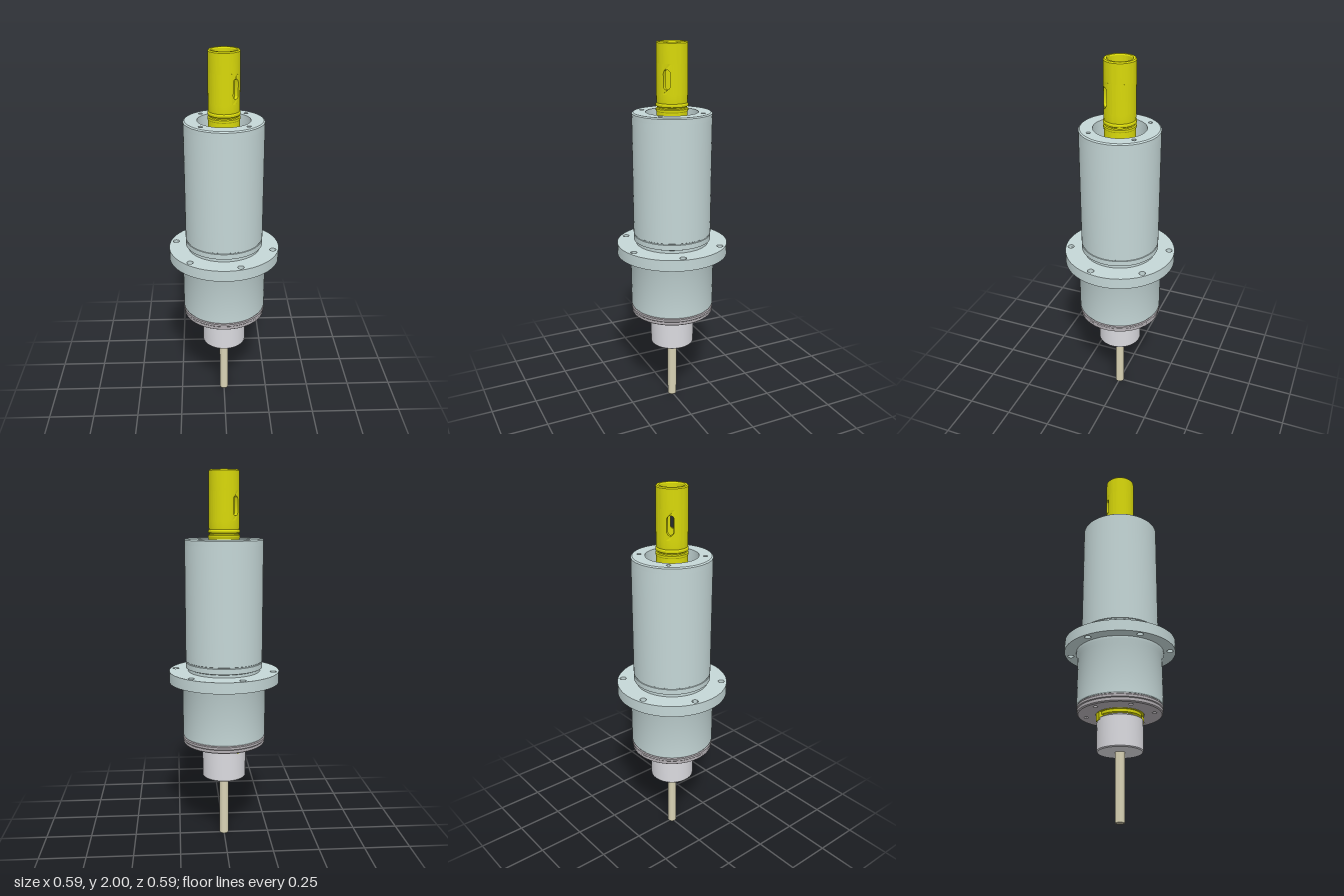
import * as THREE from 'three';
import { toCreasedNormals } from 'three/addons/utils/BufferGeometryUtils.js';

const SEG = 64;
const material = (color) => new THREE.MeshStandardMaterial({ color });

export function createModel() {
  const root = new THREE.Group();
  const steel = material(0xc4d6d6);
  const yellow = material(0xd8d80a);
  const grey = material(0xb4b0b4);
  const lightGrey = material(0xdadadf);
  const beige = material(0xd8d2b4);

  const add = (name, geometry, mat, parent = root) => {
    const mesh = new THREE.Mesh(toCreasedNormals(geometry, 0.5), mat);
    mesh.name = name;
    parent.add(mesh);
    return mesh;
  };
  // Turned part: profile of [radius, height], outer side running upwards
  const turned = (points, phi = 0, length = Math.PI * 2) =>
    new THREE.LatheGeometry(points.map(([r, y]) => new THREE.Vector2(r, y)), SEG, phi, length);
  // Closed tube section
  const sleeve = (ro, ri, y0, y1, phi, length) =>
    turned([[ri, y0], [ro, y0], [ro, y1], [ri, y1], [ri, y0]], phi, length);
  // Ring plate with a circle of bolt holes
  const plate = (ro, ri, y0, h, count, pitch, rHole, start) => {
    const shape = new THREE.Shape().absarc(0, 0, ro, 0, Math.PI * 2);
    const hole = (x, y, r) => shape.holes.push(new THREE.Path().absarc(x, y, r, 0, Math.PI * 2, true));
    hole(0, 0, ri);
    for (let i = 0; i < count; i++) {
      const a = THREE.MathUtils.degToRad(start + (i * 360) / count);
      hole(pitch * Math.cos(a), -pitch * Math.sin(a), rHole);
    }
    return new THREE.ExtrudeGeometry(shape, { depth: h, bevelEnabled: false, curveSegments: 32 })
      .rotateX(-Math.PI / 2).translate(0, y0, 0);
  };

  // Upper housing, necked in above the flange
  add('upperHousing', turned([
    [0.136, 0.94], [0.195, 0.94], [0.195, 0.965], [0.207, 0.97], [0.207, 0.998], [0.204, 1.0],
    [0.204, 1.004], [0.207, 1.006], [0.207, 1.62], [0.136, 1.62], [0.136, 0.94],
  ]), steel);
  // Top face with four screw holes and a chamfered rim
  add('topFace', plate(0.2, 0.136, 1.615, 0.037, 4, 0.167, 0.011, 45), steel);
  add('topRim', turned([
    [0.2, 1.62], [0.207, 1.62], [0.207, 1.646], [0.2, 1.652],
  ]), steel);
  for (let i = 0; i < 4; i++) {
    const a = Math.PI / 4 + (i * Math.PI) / 2;
    add('topScrew', new THREE.CylinderGeometry(0.008, 0.01, 0.02, 16)
      .translate(0.167 * Math.cos(a), 1.632, 0.167 * Math.sin(a)), steel);
  }

  // Mounting flange with six bolt holes
  add('flange', plate(0.297, 0.136, 0.89, 0.06, 6, 0.268, 0.017, 13), steel);

  // Lower housing, flared under the flange
  add('lowerHousing', turned([
    [0.136, 0.59], [0.222, 0.59], [0.225, 0.595], [0.225, 0.855], [0.234, 0.875], [0.234, 0.892],
    [0.136, 0.892], [0.136, 0.59],
  ]), steel);

  // End cap: stacked rings, the lowest with six screw holes
  add('endCapUpper', turned([
    [0.125, 0.565], [0.219, 0.565], [0.225, 0.57], [0.225, 0.582], [0.22, 0.586], [0.22, 0.592],
    [0.125, 0.592], [0.125, 0.565],
  ]), grey);
  add('endCapFace', plate(0.216, 0.125, 0.546, 0.02, 6, 0.18, 0.012, -42), grey);
  add('endCapRim', turned([[0.216, 0.546], [0.222, 0.551], [0.222, 0.566]]), grey);

  // Stepped spindle inside the bore, up to the slotted section
  const spindle = new THREE.Group();
  spindle.name = 'spindle';
  root.add(spindle);
  add('spindleBody', turned([
    [0.042, 0.53], [0.112, 0.53], [0.112, 0.545], [0.123, 0.545], [0.123, 0.62], [0.128, 0.64],
    [0.128, 1.36], [0.122, 1.37], [0.122, 1.4], [0.11, 1.41], [0.11, 1.46], [0.098, 1.47],
    [0.098, 1.52], [0.086, 1.53], [0.08, 1.6], [0.08, 1.655], [0.083, 1.66], [0.083, 1.67],
    [0.077, 1.674], [0.077, 1.68], [0.083, 1.684], [0.083, 1.694], [0.079, 1.7],
    [0.08, 1.71], [0.08, 1.745], [0.06, 1.745], [0.06, 1.6], [0.042, 1.59], [0.042, 0.53],
  ]), yellow, spindle);
  add('spindleTop', turned([
    [0.06, 1.895], [0.08, 1.895], [0.08, 1.994], [0.075, 2], [0.064, 2], [0.06, 1.994], [0.06, 1.895],
  ]), yellow, spindle);

  // Two opposite rounded slots, cut in a flat strip that is wrapped round the axis
  const half = 0.3, R = 0.08, y0 = 1.745, y1 = 1.895;
  for (const centre of [Math.PI / 4, (5 * Math.PI) / 4]) {
    const outline = [];
    for (let i = 0; i <= 8; i++) outline.push(new THREE.Vector2((i / 4 - 1) * half * R, y0));
    for (let i = 8; i >= 0; i--) outline.push(new THREE.Vector2((i / 4 - 1) * half * R, y1));
    const strip = new THREE.Shape(outline);
    strip.holes.push(new THREE.Path()
      .absarc(0, 1.85, 0.018, 0, Math.PI)
      .absarc(0, 1.788, 0.018, Math.PI, Math.PI * 2)
      .closePath());
    const geo = new THREE.ExtrudeGeometry(strip, { depth: 0.02, bevelEnabled: false, curveSegments: 10 });
    const p = geo.attributes.position;
    for (let i = 0; i < p.count; i++) {
      const phi = centre + p.getX(i) / R;
      const r = 0.06 + p.getZ(i);
      p.setXYZ(i, r * Math.sin(phi), p.getY(i), r * Math.cos(phi));
    }
    add('spindleSlot', geo, yellow, spindle);
    add('spindleWall', sleeve(R, 0.06, y0, y1, centre + half, Math.PI - 2 * half), yellow, spindle);
  }

  // Drive lugs between spindle nose and nut
  for (const s of [1, -1]) {
    const lug = add('driveLug', new THREE.BoxGeometry(0.05, 0.045, 0.025), yellow, spindle);
    lug.position.set(s * 0.077, 0.527, s * 0.077);
    lug.rotation.y = Math.PI / 4;
  }

  // Clamping nut and cutting tool
  add('clampNut', turned([
    [0, 0.35], [0.114, 0.35], [0.119, 0.355], [0.119, 0.514], [0.115, 0.518], [0.09, 0.518],
    [0.09, 0.535], [0, 0.535],
  ]), lightGrey);
  add('tool', turned([[0, 0], [0.022, 0], [0.025, 0.004], [0.025, 0.36]]), beige);

  return root;
}
